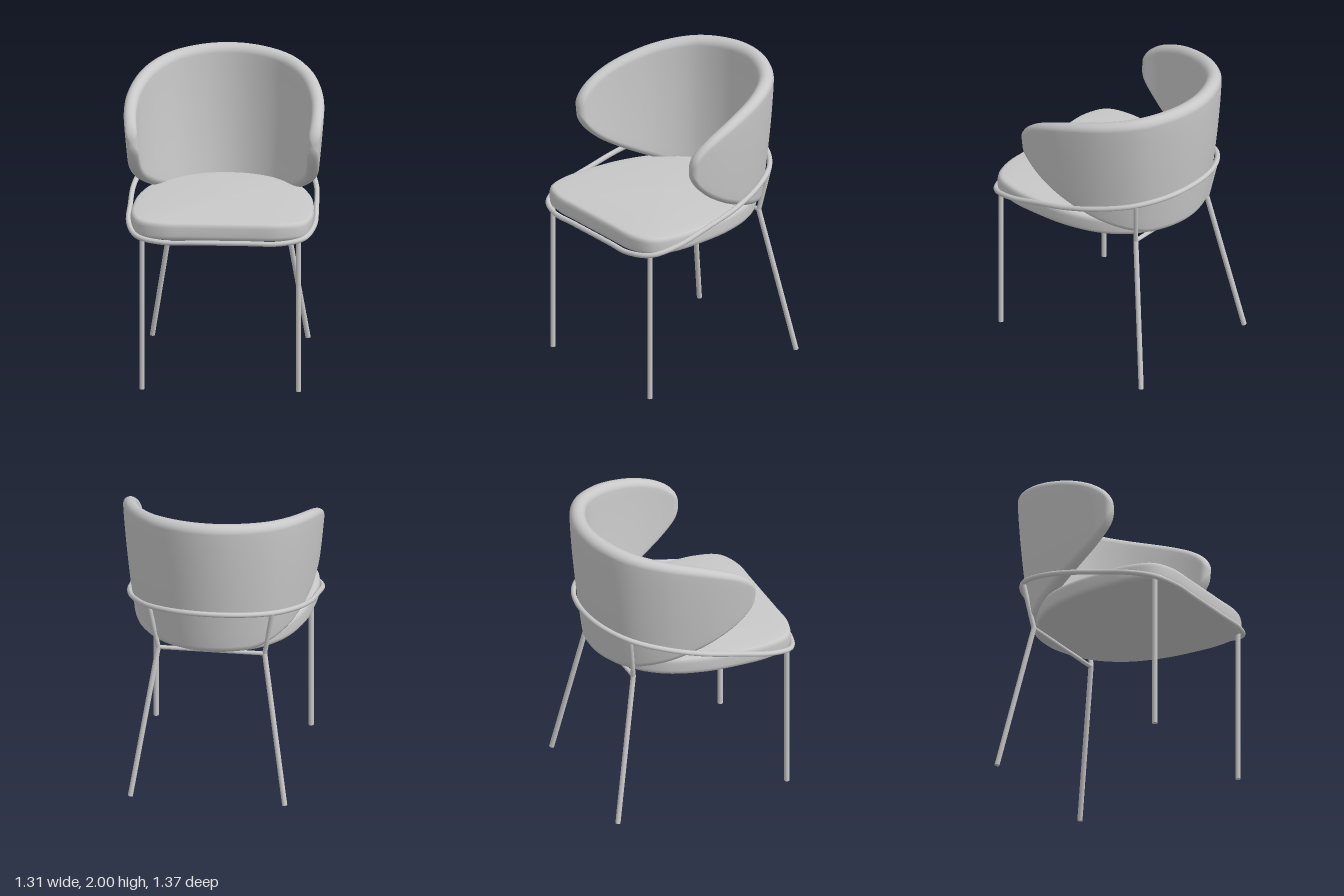
import * as THREE from 'three';

const grey = new THREE.MeshStandardMaterial({ color: 0xc8c8c8 });
grey.name = 'light grey';

const V = (x, y, z) => new THREE.Vector3(x, y, z);

function add(parent, geometry, name) {
  const mesh = new THREE.Mesh(geometry, grey);
  mesh.name = name;
  parent.add(mesh);
  return mesh;
}

// Skin closed rings of points into one smooth surface
function loft(rings) {
  const m = rings[0].length, pos = [], idx = [];
  rings.forEach(r => r.forEach(p => pos.push(p.x, p.y, p.z)));
  for (let i = 0; i < rings.length - 1; i++) {
    for (let j = 0; j < m; j++) {
      const k = (j + 1) % m, a = i * m, b = a + m;
      idx.push(a + j, b + j, a + k, b + j, b + k, a + k);
    }
  }
  const g = new THREE.BufferGeometry();
  g.setAttribute('position', new THREE.Float32BufferAttribute(pos, 3));
  g.setIndex(idx);
  g.computeVertexNormals();
  return g;
}

// Mirror a half outline that starts and ends on x = 0 into a closed loop
function mirrorLoop(half) {
  const other = half.slice(1, -1).reverse().map(([x, z]) => [-x, z]);
  return [...half, ...other];
}

function rod(parent, a, b, r, name) {
  const g = new THREE.CylinderGeometry(r, r, a.distanceTo(b), 14);
  const mesh = add(parent, g, name);
  mesh.position.copy(a).add(b).multiplyScalar(0.5);
  mesh.quaternion.setFromUnitVectors(V(0, 1, 0), b.clone().sub(a).normalize());
}

// Wraparound backrest: stadium cross-sections swept along a U-shaped plan
function backrestGeometry() {
  const half = [[0.655, 0.325], [0.665, 0.15], [0.645, -0.05], [0.56, -0.32], [0.41, -0.53], [0.2, -0.65]];
  const plan = [...half, [0, -0.685], ...half.slice().reverse().map(([x, z]) => [-x, z])];
  const curve = new THREE.CatmullRomCurve3(plan.map(([x, z]) => V(x, 0, z)), false, 'centripetal');
  const N = 120, FLAT = 10, CAP = 10, rings = [];
  for (let i = 0; i <= N; i++) {
    const u = (1 - Math.cos(Math.PI * i / N)) / 2;
    const p = curve.getPointAt(u), t = curve.getTangentAt(u);
    const q = THREE.MathUtils.clamp((0.325 - p.z) / 1.01, 0, 1);
    const hi = 1.575 + 0.425 * q ** 0.4;
    const lo = 1.575 - Math.min(0.535, 0.56 * Math.sqrt(q));
    const full = 0.078 + 0.03 * q;
    const tip = q < 0.04 ? Math.sqrt(1 - (1 - q / 0.04) ** 2) : 1;
    const r = Math.min(full / 2 * tip, (hi - lo) / 2);
    const section = [];
    for (let k = 0; k < FLAT; k++) section.push([-r, lo + r + (hi - lo - 2 * r) * k / FLAT]);
    for (let k = 0; k < CAP; k++) {
      const a = Math.PI * k / CAP;
      section.push([-r * Math.cos(a), hi - r + r * Math.sin(a)]);
    }
    for (let k = 0; k < FLAT; k++) section.push([r, hi - r - (hi - lo - 2 * r) * k / FLAT]);
    for (let k = 0; k < CAP; k++) {
      const a = Math.PI * k / CAP;
      section.push([r * Math.cos(a), lo + r - r * Math.sin(a)]);
    }
    rings.push(section.map(([off, y]) => {
      const s = 1 - 0.13 * (Math.max(0, 2 - y) / 0.96) ** 1.5; // narrows downward
      const d = off + full / 2;
      return V(p.x * s + t.z * d, y, p.z * s - t.x * d);
    }));
  }
  return loft(rings);
}

// Padded seat: one outline stacked at changing scale
function seatGeometry() {
  const outline = mirrorLoop([[0, -0.55], [0.18, -0.525], [0.34, -0.44], [0.48, -0.27], [0.565, -0.03],
    [0.592, 0.2], [0.59, 0.43], [0.535, 0.585], [0.39, 0.65], [0.2, 0.655], [0, 0.655]]);
  const curve = new THREE.CatmullRomCurve3(outline.map(([x, z]) => V(x, 0, z)), true, 'centripetal');
  const pts = curve.getPoints(96).slice(0, 96);
  const layers = [[0, 1.03], [0.5, 1.03], [0.95, 1.031], [0.975, 1.035], [0.993, 1.047], [1, 1.065], [1, 1.12],
    [0.994, 1.138], [0.98, 1.148], [0.96, 1.153], [0.85, 1.159], [0.6, 1.168], [0.3, 1.174], [0, 1.176]];
  return loft(layers.map(([s, y]) => pts.map(p => V(p.x * s, y, 0.05 + (p.z - 0.05) * s))));
}

// Tilted hoop that runs under the seat front and behind the backrest
function hoopGeometry() {
  const outline = mirrorLoop([[0, -0.65], [0.22, -0.612], [0.41, -0.49], [0.535, -0.28], [0.595, -0.05],
    [0.607, 0.2], [0.605, 0.43], [0.54, 0.595], [0.38, 0.662], [0.2, 0.663], [0, 0.663]]);
  const pts = outline.map(([x, z]) => V(x, 1.025 + (0.663 - z) * 0.252, z));
  return new THREE.TubeGeometry(new THREE.CatmullRomCurve3(pts, true, 'centripetal'), 160, 0.017, 12, true);
}

export function createModel() {
  const chair = new THREE.Group();
  chair.name = 'chair';
  add(chair, backrestGeometry(), 'backrest');
  add(chair, seatGeometry(), 'seat');

  const frame = new THREE.Group();
  frame.name = 'frame';
  chair.add(frame);
  add(frame, hoopGeometry(), 'hoop');

  // Legs, mirrored left and right
  for (const [side, s] of [['left', 1], ['right', -1]]) {
    rod(frame, V(0.51 * s, 0, 0.58), V(0.51 * s, 1.045, 0.58), 0.017, side + 'FrontLeg');
    const knee = V(0.35 * s, 1.0, -0.45);
    rod(frame, V(0.508 * s, 0, -0.635), knee, 0.017, side + 'RearLeg');
    rod(frame, knee, V(0.405 * s, 1.315, -0.497), 0.016, side + 'RearUpright');
    add(frame, new THREE.SphereGeometry(0.017, 14, 10), side + 'RearJoint').position.copy(knee);
  }
  // Bar joining the rear legs under the seat
  rod(frame, V(-0.35, 1.0, -0.45), V(0.35, 1.0, -0.45), 0.014, 'rearCrossbar');
  return chair;
}
